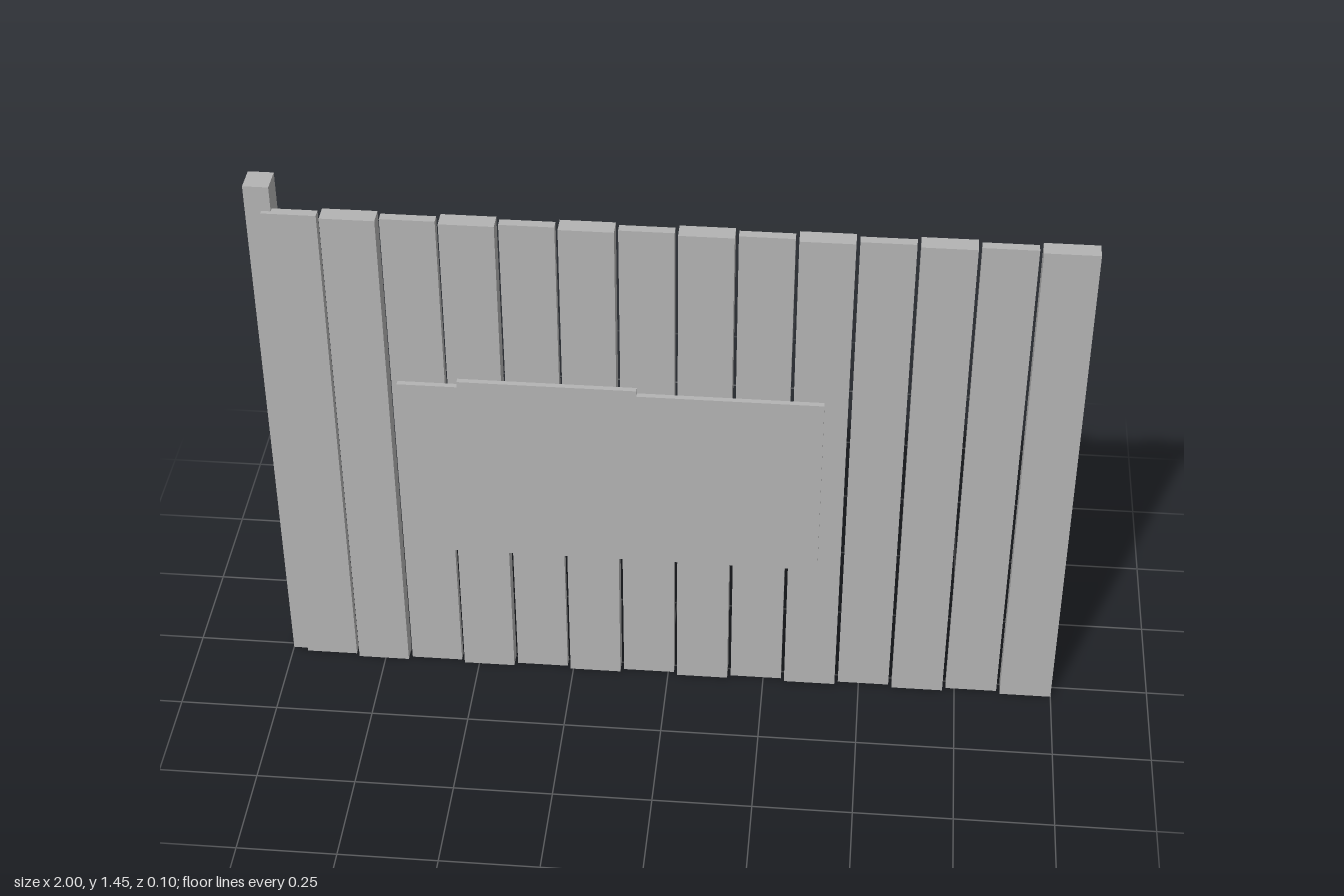
import * as THREE from 'three';

export function createModel() {
  const group = new THREE.Group();
  const grey = new THREE.MeshStandardMaterial({ color: 0xb3b3b3 });
  grey.name = 'plain grey';

  // Box given by its minimum and maximum corners
  function box(name, x0, x1, y0, y1, z0, z1) {
    const mesh = new THREE.Mesh(new THREE.BoxGeometry(x1 - x0, y1 - y0, z1 - z0), grey);
    mesh.position.set((x0 + x1) / 2, (y0 + y1) / 2, (z0 + z1) / 2);
    mesh.name = name;
    group.add(mesh);
  }

  // End post behind the boards
  box('post', -1, -0.938, 0, 1.446, -0.051, 0.015);

  // Vertical boards, alternately thin and thick, with narrow gaps
  const count = 14, width = 0.132, first = -0.961;
  const pitch = (1 - width - first) / (count - 1);
  for (let i = 0; i < count; i++) {
    const x = first + i * pitch;
    const half = i % 2 ? 0.022 : 0.012;
    box(`board${i + 1}`, x, x + width, 0, 1.38, 0.014 - half, 0.014 + half);
  }

  // Sign panel with a slightly raised section along its top edge
  const outline = new THREE.Shape([
    [-0.662, 0.401], [0.38, 0.401], [0.38, 0.919], [-0.075, 0.919],
    [-0.075, 0.935], [-0.514, 0.935], [-0.514, 0.919], [-0.662, 0.919],
  ].map(([x, y]) => new THREE.Vector2(x, y)));
  const panel = new THREE.Mesh(
    new THREE.ExtrudeGeometry(outline, { depth: 0.014, bevelEnabled: false }), grey);
  panel.position.z = 0.0375;
  panel.name = 'signPanel';
  group.add(panel);

  return group;
}
